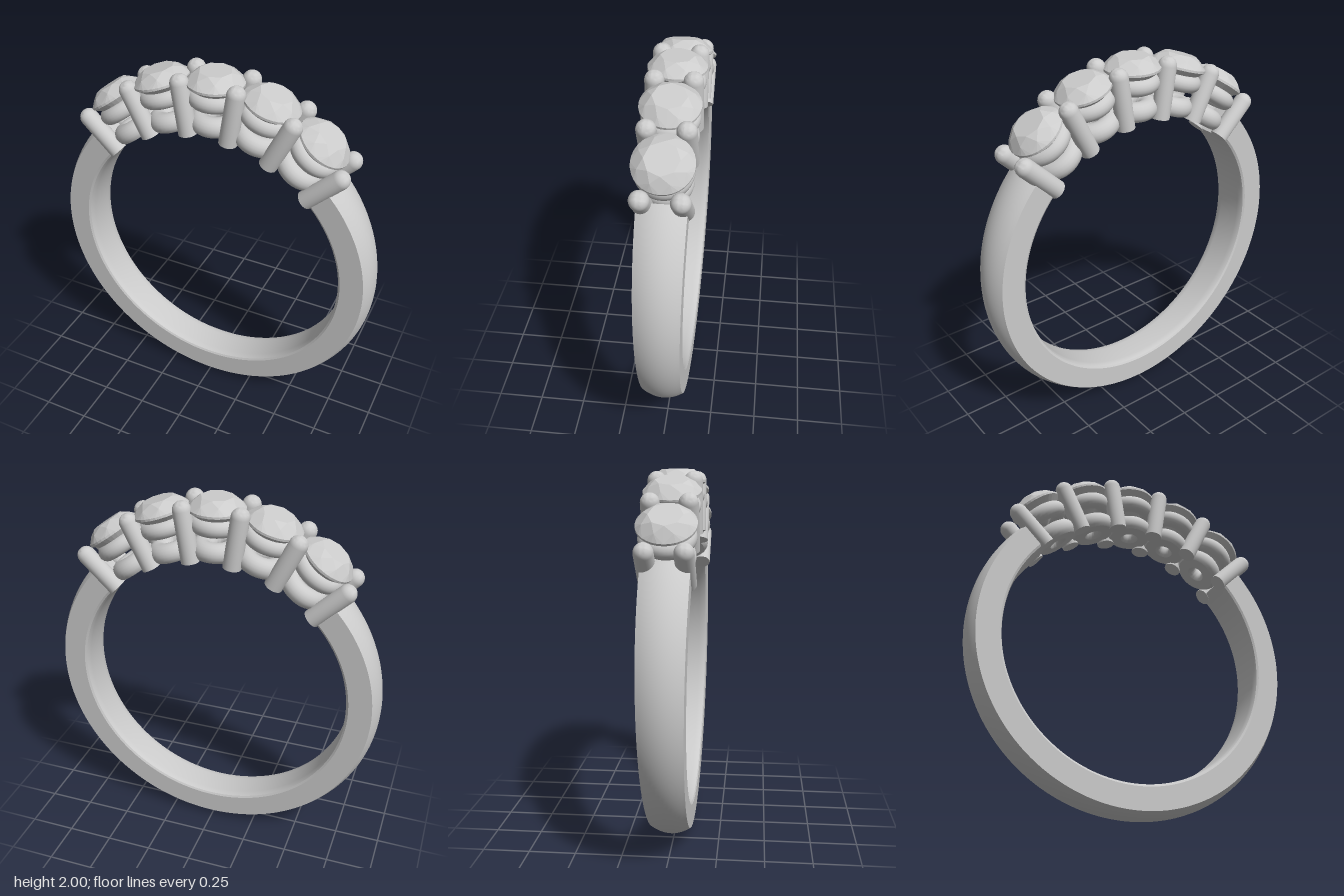
import * as THREE from 'three';
import { mergeGeometries, toCreasedNormals } from 'three/addons/utils/BufferGeometryUtils.js';
import { ConvexGeometry } from 'three/addons/geometries/ConvexGeometry.js';

const rad = THREE.MathUtils.degToRad;
const CENTRE_Y = 0.928, INNER = 0.75, OUTER = 0.925;
const metal = new THREE.MeshStandardMaterial({ color: 0xcccccc });
const bandMetal = new THREE.MeshStandardMaterial({ color: 0xcccccc, side: THREE.DoubleSide });
const gem = new THREE.MeshStandardMaterial({ color: 0xcccccc, flatShading: true });

function add(parent, name, geometry, material = metal) {
  const mesh = new THREE.Mesh(geometry, material);
  mesh.name = name;
  parent.add(mesh);
  return mesh;
}

// Band: domed outside, softened inside edges, open across the top, wider toward the stones
function bandGeometry() {
  const w = 0.1, edge = 0.893, profile = [];
  for (let i = 0; i <= 12; i++) {
    const t = -1 + i / 6;
    profile.push(new THREE.Vector2(edge + (OUTER - edge) * (1 - t * t), t * w));
  }
  for (const [r, t] of [[0.768, 1], [0.757, 0.94], [0.752, 0.82], [INNER, 0.6],
    [INNER, -0.6], [0.752, -0.82], [0.757, -0.94], [0.768, -1], [edge, -1]])
    profile.push(new THREE.Vector2(r, t * w));

  const end = rad(134.5);
  const parts = [new THREE.LatheGeometry(profile, 144, -end, 2 * end).rotateX(Math.PI / 2)];
  for (const phi of [-end, end])
    parts.push(new THREE.ShapeGeometry(new THREE.Shape(profile.slice(0, -1)))
      .rotateX(Math.PI / 2).rotateZ(phi - Math.PI / 2));
  const geometry = mergeGeometries(parts);
  const p = geometry.attributes.position;
  for (let i = 0; i < p.count; i++) p.setZ(i, p.getZ(i) * (1.126 + 0.142 * p.getY(i)));
  return toCreasedNormals(geometry, 0.5);
}

// Brilliant-cut stone with its girdle at y = 0
function stoneGeometry() {
  const points = [new THREE.Vector3(0, -0.13, 0)];
  const circle = (n, r, y, turn = 0) => {
    for (let i = 0; i < n; i++) {
      const a = (i + turn) / n * Math.PI * 2;
      points.push(new THREE.Vector3(r * Math.cos(a), y, r * Math.sin(a)));
    }
  };
  circle(8, 0.085, 0.06);
  circle(8, 0.122, 0.036, 0.5);
  circle(32, 0.15, 0.004);
  circle(32, 0.15, -0.008);
  return new ConvexGeometry(points);
}

// Round prong with a domed tip, from the inside of the ring out to radius tip
function prongGeometry(tip) {
  const r = 0.049, base = INNER - 0.002;
  const profile = [new THREE.Vector2(0, base), new THREE.Vector2(r, base)];
  for (let i = 0; i <= 8; i++) {
    const a = i / 8 * Math.PI / 2;
    profile.push(new THREE.Vector2(r * Math.cos(a), tip - r + r * Math.sin(a)));
  }
  return toCreasedNormals(new THREE.LatheGeometry(profile, 24), 0.6);
}

// Small gallery ring, its underside flattened at height floor
function galleryRing(radius, tube, height, floor = 0) {
  const geometry = new THREE.TorusGeometry(radius, tube, 20, 40)
    .rotateX(Math.PI / 2).translate(0, height, 0);
  const p = geometry.attributes.position;
  for (let i = 0; i < p.count; i++) p.setY(i, Math.max(p.getY(i), floor));
  return toCreasedNormals(geometry, 0.5);
}

export function createModel() {
  const ring = new THREE.Group();
  ring.name = 'ring';
  add(ring, 'band', bandGeometry(), bandMetal).position.y = CENTRE_Y;

  // A group turned about the ring's centre, its y axis pointing outward
  const radial = (name, degrees) => {
    const group = new THREE.Group();
    group.name = name;
    group.position.y = CENTRE_Y;
    group.rotation.z = -rad(degrees);
    ring.add(group);
    return group;
  };

  // Five stones, each on an upper and a lower gallery ring
  const stone = stoneGeometry();
  const upper = galleryRing(0.099, 0.046, 0.934);
  const lower = galleryRing(0.082, 0.054, 0.797, INNER + 0.004);
  for (const [degrees, drop] of [[-35.6, 0.012], [-17.5, 0.004], [0, 0], [17.5, 0.004], [35.6, 0.012]]) {
    const setting = radial('setting', degrees);
    add(setting, 'stone', stone, gem).position.y = 1.012 - drop;
    add(setting, 'upperRing', upper).position.y = -drop;
    add(setting, 'lowerRing', lower);
  }

  // Six pairs of prongs between and beside the stones
  for (const [degrees, tip] of [[8.6, 1.072], [26.2, 1.062], [45.6, 1.035]]) {
    const prong = prongGeometry(tip);
    for (const side of [-1, 1]) {
      const pair = radial('prongPair', side * degrees);
      for (const z of [-0.095, 0.095]) add(pair, 'prong', prong).position.z = z;
    }
  }
  return ring;
}
